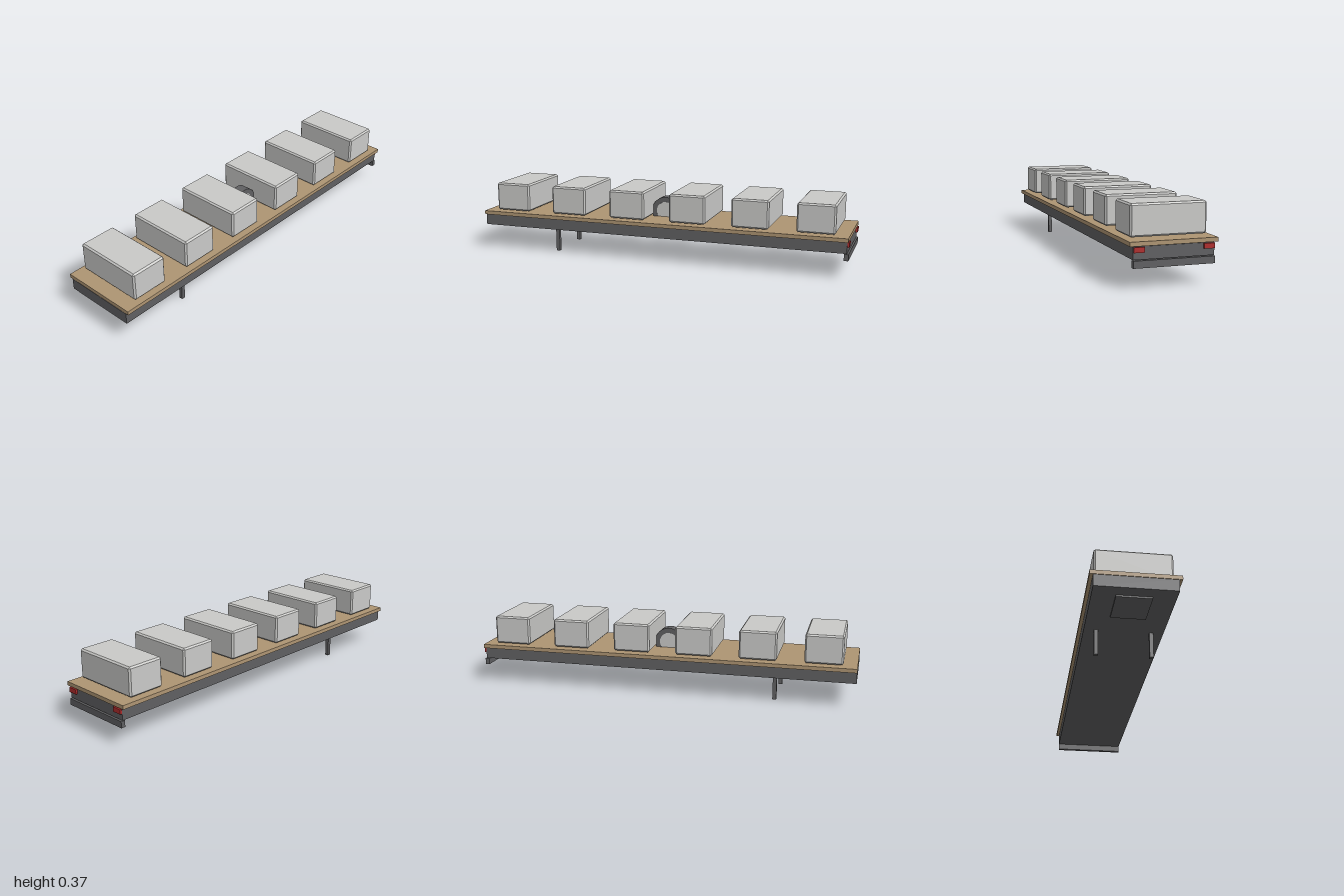
import * as THREE from 'three';
import { ConvexGeometry } from 'three/addons/geometries/ConvexGeometry.js';

const flat = (name, color) => {
  const m = new THREE.MeshStandardMaterial({ color });
  m.name = name;
  return m;
};

// Box with a single flat chamfer on every edge
function chamferedBox(w, h, d, c) {
  const points = [];
  const x = w / 2, y = h / 2, z = d / 2;
  for (const sx of [-1, 1]) for (const sy of [-1, 1]) for (const sz of [-1, 1]) {
    points.push(
      new THREE.Vector3(sx * x, sy * (y - c), sz * (z - c)),
      new THREE.Vector3(sx * (x - c), sy * y, sz * (z - c)),
      new THREE.Vector3(sx * (x - c), sy * (y - c), sz * z)
    );
  }
  return new ConvexGeometry(points);
}

export function createModel() {
  const model = new THREE.Group();
  model.name = 'loadedTrailer';
  const metal = flat('darkMetal', 0x606062);
  const wood = flat('deckWood', 0xae9573);
  const grey = flat('lightGrey', 0xcacac8);
  const red = flat('lampRed', 0xb02c2c);

  const add = (name, geometry, material, x, y, z) => {
    const mesh = new THREE.Mesh(geometry, material);
    mesh.name = name;
    mesh.position.set(x, y, z);
    model.add(mesh);
    return mesh;
  };
  const box = (name, material, w, h, d, x, y, z) =>
    add(name, new THREE.BoxGeometry(w, h, d), material, x, y, z);

  // Chassis and deck, with a hairline gap between them
  box('chassis', metal, 0.384, 0.058, 1.99, 0, 0.159, 0.005);
  box('deck', wood, 0.416, 0.02, 1.996, 0, 0.2, 0.002);

  // Cargo crates along the deck
  const crate = chamferedBox(0.366, 0.149, 0.194, 0.008);
  for (let i = 0; i < 6; i++) {
    add('crate', crate, grey, 0, 0.2915, (2.5 - i) / 3);
  }

  // Spare wheel standing in the middle: ring tyre and hub
  const ring = new THREE.Shape().absarc(0, 0, 0.076, 0, Math.PI * 2);
  ring.holes.push(new THREE.Path().absarc(0, 0, 0.05, 0, Math.PI * 2, true));
  const tyre = new THREE.ExtrudeGeometry(ring, { depth: 0.056, bevelEnabled: false, curveSegments: 24 });
  tyre.translate(0, 0, -0.028);
  tyre.rotateY(Math.PI / 2);
  add('tyre', tyre, metal, 0, 0.24, 0);
  const hub = new THREE.CylinderGeometry(0.05, 0.05, 0.056, 24);
  hub.rotateZ(Math.PI / 2);
  add('hub', hub, grey, 0, 0.24, 0);

  // Support legs and rear lamps on both sides
  for (const side of [-1, 1]) {
    box('supportLeg', metal, 0.019, 0.13, 0.02, side * 0.133, 0.065, 0.588);
    box('rearLamp', red, 0.05, 0.024, 0.014, side * 0.165, 0.174, -0.993);
  }

  // Plate under the front and bumper at the rear
  box('underPlate', metal, 0.167, 0.008, 0.196, 0, 0.126, 0.835);
  box('rearBumper', metal, 0.384, 0.033, 0.022, 0, 0.1105, -0.987);

  return model;
}
